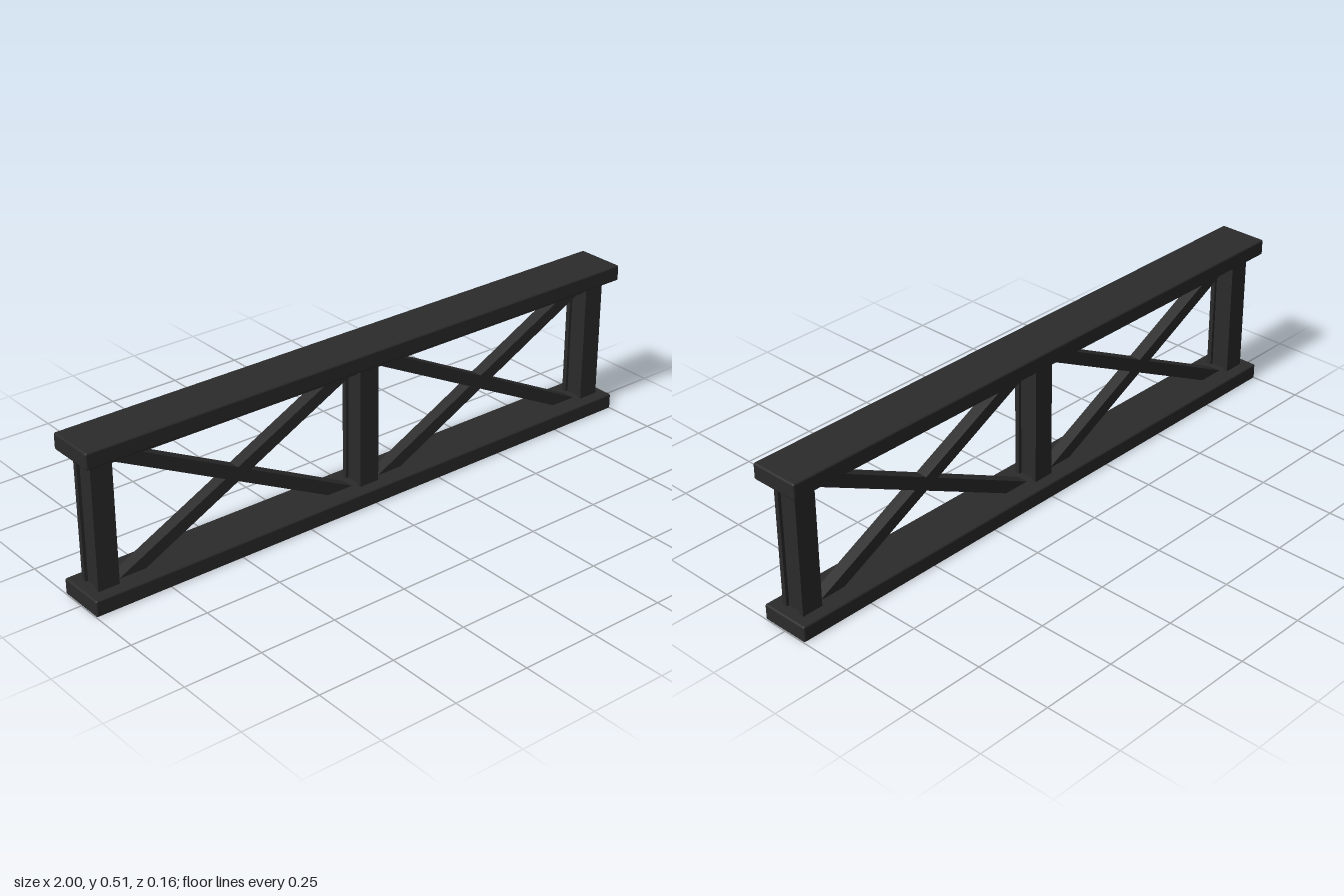
import * as THREE from 'three';
import { RoundedBoxGeometry } from 'three/addons/geometries/RoundedBoxGeometry.js';

export function createModel() {
  const model = new THREE.Group();
  model.name = 'trussBeam';
  const steel = new THREE.MeshStandardMaterial({ color: 0x2b2b2b });
  steel.name = 'dark steel';

  const add = (name, geometry, x, y, z = 0, parent = model) => {
    const mesh = new THREE.Mesh(geometry, steel);
    mesh.name = name;
    mesh.position.set(x, y, z);
    parent.add(mesh);
    return mesh;
  };

  // Wide softened rails along the bottom and top
  const rail = new RoundedBoxGeometry(2, 0.052, 0.162, 2, 0.006);
  add('bottomRail', rail, 0, 0.026);
  add('topRail', rail, 0, 0.486);

  // Narrow chord under the top rail
  add('topChord', new THREE.BoxGeometry(1.88, 0.04, 0.054), 0, 0.445);

  // Posts: two flange plates around a slightly recessed web
  const flange = new THREE.BoxGeometry(0.07, 0.42, 0.015);
  const web = new THREE.BoxGeometry(0.05, 0.42, 0.056);
  for (const [name, x] of [['leftPost', 0.932], ['middlePost', 0], ['rightPost', -0.932]]) {
    const post = new THREE.Group();
    post.name = name;
    post.position.set(x, 0.256, 0);
    model.add(post);
    add('postWeb', web, 0, 0, 0, post);
    for (const side of [1, -1]) add('postFlange', flange, 0, 0, side * 0.0345, post);
  }

  // Crossed braces, cut level at both ends, one pair per bay
  const bottom = 0.048, top = 0.43, run = 0.38, half = 0.045;
  for (const bay of [1, -1]) {
    for (const lean of [1, -1]) {
      const shape = new THREE.Shape([
        [-run - half, bottom], [-run + half, bottom], [run + half, top], [run - half, top],
      ].map(([x, y]) => new THREE.Vector2(x * lean, y)));
      const depth = 0.04;
      const brace = new THREE.ExtrudeGeometry(shape, { depth, bevelEnabled: false });
      add('crossBrace', brace, bay * 0.468, 0, -depth / 2);
    }
  }
  return model;
}
